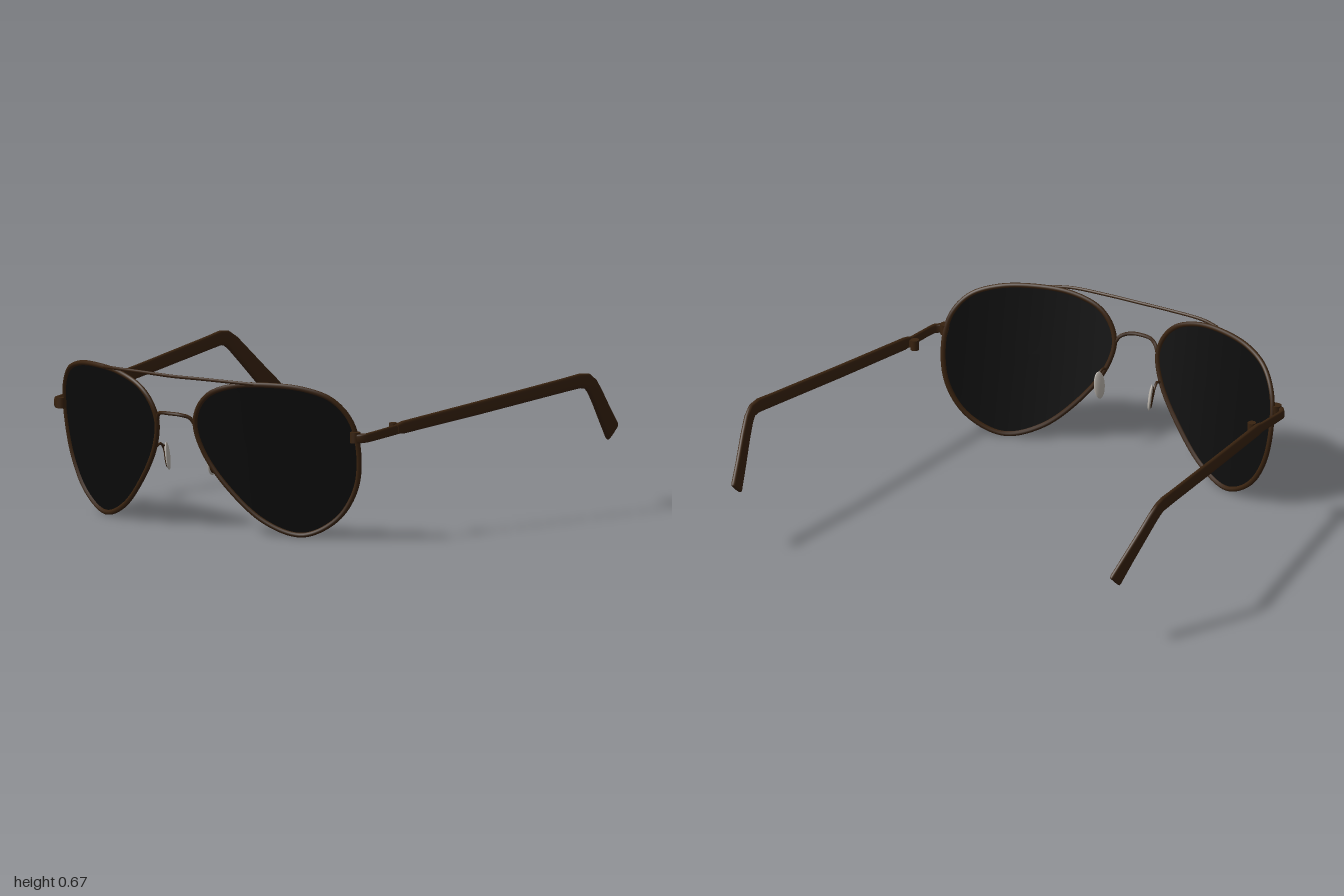
import * as THREE from 'three';

const V = (x, y, z) => new THREE.Vector3(x, y, z);

// Tilted, wrapped surface in which each lens and rim lies
const lensZ = (x, y) => 0.83 - 0.33 * x + 0.17 * y + 0.33 * (x - 0.1) * (0.8 - x);

// Teardrop outline of the left lens
const OUTLINE = [
  [0.105, 0.46], [0.13, 0.54], [0.19, 0.602], [0.31, 0.646], [0.46, 0.659], [0.61, 0.648],
  [0.715, 0.607], [0.778, 0.52], [0.796, 0.39], [0.77, 0.225], [0.685, 0.09], [0.54, 0.015],
  [0.385, 0.063], [0.23, 0.205], [0.135, 0.345],
];

function outlineCurve() {
  return new THREE.CatmullRomCurve3(OUTLINE.map(([x, y]) => V(x, y, lensZ(x, y))), true);
}

// Lens: rings shrinking from the outline to the centre, following the surface
function lensGeometry() {
  const n = 96, rings = 10, cx = 0.46, cy = 0.36;
  const edge = outlineCurve().getSpacedPoints(n);
  const pos = [], index = [];
  for (let r = 0; r <= rings; r++) {
    for (let i = 0; i < n; i++) {
      const t = Math.max(r / rings, 0.001);
      const x = cx + (edge[i].x - cx) * t, y = cy + (edge[i].y - cy) * t;
      pos.push(x, y, lensZ(x, y));
      if (r < rings) {
        const a = r * n + i, b = r * n + (i + 1) % n;
        index.push(a, b, a + n, b, b + n, a + n);
      }
    }
  }
  const g = new THREE.BufferGeometry();
  g.setAttribute('position', new THREE.Float32BufferAttribute(pos, 3));
  g.setIndex(index);
  g.computeVertexNormals();
  return g;
}

// Sweep of a rounded-rectangle section; stations are [x, y, z, halfWidth, halfHeight]
function sweep(stations) {
  const sides = 16, n = stations.length, pos = [], index = [];
  const p = stations.map(s => V(s[0], s[1], s[2]));
  const round = v => Math.sign(v) * Math.pow(Math.abs(v), 0.6);
  p.forEach((c, k) => {
    const dir = p[Math.min(k + 1, n - 1)].clone().sub(p[Math.max(k - 1, 0)]).normalize();
    const up = dir.clone().cross(V(1, 0, 0)).normalize();
    if (up.y < 0) up.negate();
    const side = up.clone().cross(dir).normalize();
    for (let i = 0; i < sides; i++) {
      const a = i / sides * Math.PI * 2;
      const q = c.clone().addScaledVector(side, round(Math.cos(a)) * stations[k][3])
        .addScaledVector(up, round(Math.sin(a)) * stations[k][4]);
      pos.push(q.x, q.y, q.z);
      if (k < n - 1) {
        const u = k * sides + i, v = k * sides + (i + 1) % sides;
        index.push(u, v, u + sides, v, v + sides, u + sides);
      }
    }
  });
  // End caps with their own vertices
  [0, n - 1].forEach(k => {
    const base = pos.length / 3;
    pos.push(...pos.slice(k * sides * 3, (k + 1) * sides * 3));
    for (let i = 1; i < sides - 1; i++) {
      index.push(base, ...(k ? [base + i, base + i + 1] : [base + i + 1, base + i]));
    }
  });
  const g = new THREE.BufferGeometry();
  g.setAttribute('position', new THREE.Float32BufferAttribute(pos, 3));
  g.setIndex(index);
  g.computeVertexNormals();
  return g;
}

const wire = (points, radius) =>
  new THREE.TubeGeometry(new THREE.CatmullRomCurve3(points), 48, radius, 8);

// Mirror a geometry across x = 0, keeping faces outward
function mirrored(geometry) {
  const g = geometry.clone().scale(-1, 1, 1), id = g.index.array;
  for (let i = 0; i < id.length; i += 3) [id[i], id[i + 1]] = [id[i + 1], id[i]];
  return g;
}

export function createModel() {
  const metal = new THREE.MeshStandardMaterial({ color: 0x38220f });
  metal.name = 'dark bronze';
  const glass = new THREE.MeshStandardMaterial({ color: 0x0b0b0b, side: THREE.DoubleSide });
  glass.name = 'black glass';
  const silicone = new THREE.MeshStandardMaterial({ color: 0xb8b2aa });
  silicone.name = 'pale silicone';

  const model = new THREE.Group();
  model.name = 'sunglasses';
  const add = (name, geometry, material) => {
    const m = new THREE.Mesh(geometry, material);
    m.name = name;
    model.add(m);
  };
  const addPair = (name, geometry, material) => {
    add('left' + name, geometry, material);
    add('right' + name, mirrored(geometry), material);
  };

  // Lenses and rims
  addPair('Lens', lensGeometry(), glass);
  addPair('Rim', new THREE.TubeGeometry(outlineCurve(), 120, 0.011, 8, true), metal);

  // Brow bar and bridge
  add('browBar', wire([V(-0.41, 0.66, 0.855), V(-0.32, 0.664, 0.884), V(-0.15, 0.664, 0.896),
    V(0, 0.662, 0.9), V(0.15, 0.664, 0.896), V(0.32, 0.664, 0.884), V(0.41, 0.66, 0.855)], 0.007), metal);
  add('bridge', wire([V(-0.105, 0.46, 0.874), V(-0.085, 0.492, 0.888), V(-0.05, 0.504, 0.91),
    V(0, 0.506, 0.918), V(0.05, 0.504, 0.91), V(0.085, 0.492, 0.888), V(0.105, 0.46, 0.874)], 0.008), metal);

  // End pieces joining the rims to the temples
  addPair('EndBlock', new THREE.CylinderGeometry(0.023, 0.023, 0.045, 16).translate(0.802, 0.45, 0.663), metal);
  addPair('EndPiece', sweep([
    [0.80, 0.447, 0.668, 0.014, 0.02], [0.828, 0.448, 0.662, 0.012, 0.02], [0.845, 0.45, 0.64, 0.01, 0.02],
    [0.848, 0.453, 0.6, 0.009, 0.02], [0.851, 0.467, 0.42, 0.009, 0.021],
  ]), metal);

  // Hinge knuckle on the inside of each temple
  addPair('HingePin', new THREE.CylinderGeometry(0.018, 0.018, 0.045, 16).translate(0.818, 0.466, 0.432), metal);
  addPair('HingeArm', new THREE.BoxGeometry(0.04, 0.03, 0.014).translate(0.835, 0.466, 0.432), metal);

  // Temples with flared, dropped ear tips
  addPair('Temple', sweep([
    [0.851, 0.467, 0.45, 0.012, 0.021], [0.855, 0.471, 0.41, 0.012, 0.027], [0.91, 0.511, -0.04, 0.011, 0.029],
    [0.967, 0.555, -0.5, 0.011, 0.03], [0.98, 0.565, -0.6, 0.012, 0.031], [0.984, 0.559, -0.645, 0.012, 0.033],
    [0.979, 0.533, -0.683, 0.012, 0.035], [0.965, 0.479, -0.735, 0.012, 0.037], [0.94, 0.392, -0.815, 0.012, 0.041],
    [0.92, 0.318, -0.884, 0.012, 0.046], [0.918, 0.31, -0.891, 0.009, 0.044],
  ]), metal);

  // Nose pads with metal backs and curved wire supports
  const placePad = g => g.rotateZ(-0.12).rotateY(-0.45).translate(0.124, 0.3, 0.78);
  addPair('NosePad', placePad(new THREE.SphereGeometry(1, 24, 16).scale(0.009, 0.06, 0.027)), silicone);
  addPair('NosePadBack', placePad(
    new THREE.SphereGeometry(1, 20, 12).scale(0.006, 0.05, 0.022).translate(0.007, 0, 0)), metal);
  addPair('NosePadWire', wire([V(0.132, 0.345, 0.85), V(0.132, 0.355, 0.82), V(0.135, 0.34, 0.795),
    V(0.132, 0.3, 0.782)], 0.006), metal);

  return model;
}
